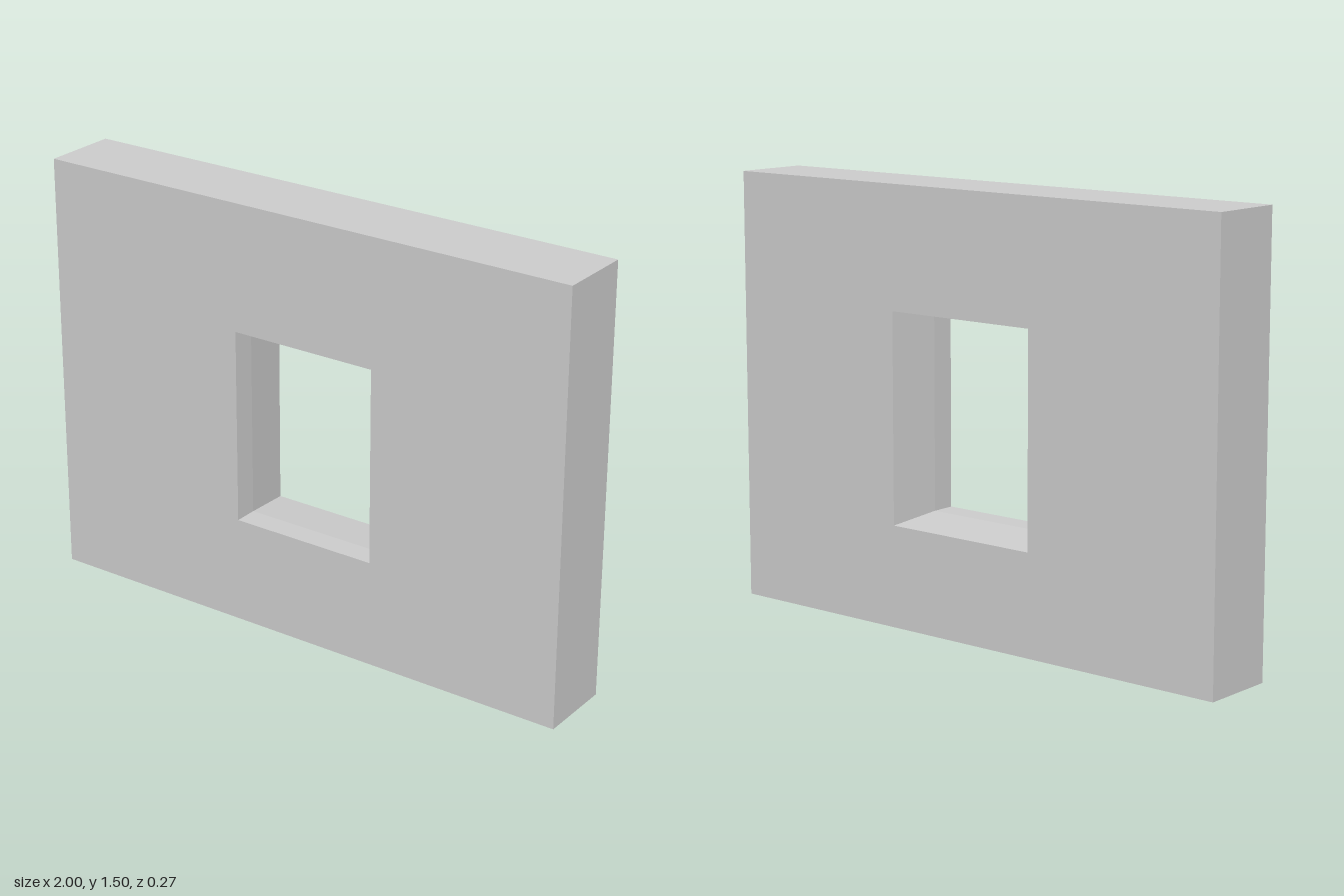
import * as THREE from 'three';

const WIDTH = 2, HEIGHT = 1.5, DEPTH = 0.267;
const OPENING = { left: -0.245, right: 0.29, bottom: 0.375, top: 1.057 };
const BEND_Z = 0.05; // straight reveal in front of this, splayed behind it
const SPLAY = 0.022; // how much the opening widens at the back

function rectangle(path, x0, y0, x1, y1) {
  path.moveTo(x0, y0);
  path.lineTo(x1, y0);
  path.lineTo(x1, y1);
  path.lineTo(x0, y1);
  path.closePath();
  return path;
}

export function createModel() {
  const group = new THREE.Group();
  group.name = 'wallWithWindowOpening';

  // Wall slab pierced by the window opening
  const { left, right, bottom, top } = OPENING;
  const shape = rectangle(new THREE.Shape(), -WIDTH / 2, 0, WIDTH / 2, HEIGHT);
  shape.holes.push(rectangle(new THREE.Path(), left, bottom, right, top));
  const geometry = new THREE.ExtrudeGeometry(shape, { depth: DEPTH, steps: 2, bevelEnabled: false });
  geometry.translate(0, 0, -DEPTH / 2);

  // Shift the middle layer to the bend and splay the opening toward the back
  const pos = geometry.attributes.position;
  const midX = (left + right) / 2, midY = (bottom + top) / 2;
  for (let i = 0; i < pos.count; i++) {
    const x = pos.getX(i), y = pos.getY(i), z = pos.getZ(i);
    if (Math.abs(z) < 0.01) pos.setZ(i, BEND_Z);
    const onOpening = Math.abs(x) < 0.5;
    if (onOpening && z < -0.01) {
      pos.setXY(i, x + Math.sign(x - midX) * SPLAY, y + Math.sign(y - midY) * SPLAY);
    }
  }
  geometry.computeVertexNormals();

  const wall = new THREE.Mesh(
    geometry,
    new THREE.MeshStandardMaterial({ color: 0xcccccc, flatShading: true })
  );
  wall.name = 'wall';
  group.add(wall);
  return group;
}
